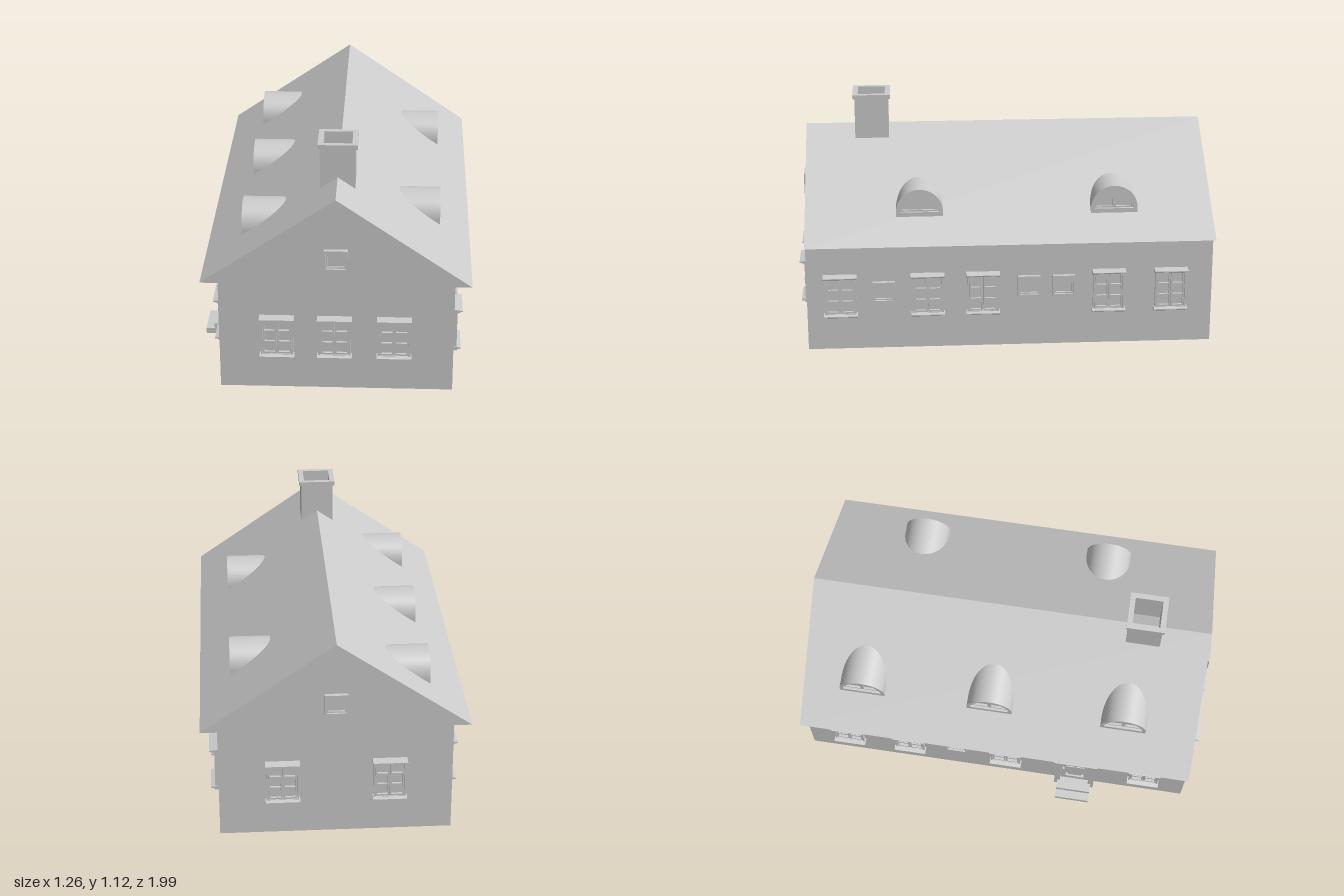
import * as THREE from 'three';

const mat = new THREE.MeshStandardMaterial({ color: 0xcccccc });
const WALL_L = 0.55, WALL_R = -0.515, END = 0.957, RIDGE = 0.015;

function add(parent, name, geo) {
  const m = new THREE.Mesh(geo, mat);
  m.name = name;
  parent.add(m);
  return m;
}

// Box given by its extents on each axis
function box(parent, name, x0, x1, y0, y1, z0, z1) {
  const m = add(parent, name, new THREE.BoxGeometry(x1 - x0, y1 - y0, z1 - z0));
  m.position.set((x0 + x1) / 2, (y0 + y1) / 2, (z0 + z1) / 2);
  return m;
}

const poly = (pts, Kind = THREE.Shape) => new Kind(pts.map(p => new THREE.Vector2(p[0], p[1])));
const rect = (x0, x1, y0, y1, Kind) => poly([[x0, y0], [x1, y0], [x1, y1], [x0, y1]], Kind);
const extrude = (shape, depth) =>
  new THREE.ExtrudeGeometry(shape, { depth, bevelEnabled: false, curveSegments: 24 });

// Rectangular panel pierced by a list of [x0, x1, y0, y1] openings
function pierced(x0, x1, y0, y1, holes, depth) {
  const s = rect(x0, x1, y0, y1);
  holes.forEach(h => s.holes.push(rect(...h, THREE.Path)));
  return extrude(s, depth);
}

// Moulding: a (projection, height) profile run along local x
function moulding(parent, name, profile, width) {
  const m = add(parent, name, extrude(poly(profile.map(([z, y]) => [-z, y])), width));
  m.rotation.y = Math.PI / 2;
  m.position.x = -width / 2;
  return m;
}

// Wall fittings are built facing +z with the wall at z = 0
function largeWindow() {
  const g = new THREE.Group();
  g.name = 'largeWindow';
  add(g, 'windowFrame', pierced(-0.074, 0.074, 0.17, 0.365, [[-0.066, 0.066, 0.182, 0.358]], 0.017));
  for (const s of [-1, 1]) {
    const holes = [0, 1, 2].map(r => [-0.024, 0.024, 0.19 + r * 0.0555, 0.241 + r * 0.0555]);
    const sash = add(g, 'windowSash', pierced(-0.032, 0.032, 0.182, 0.358, holes, 0.012));
    sash.position.x = s * 0.033;
  }
  moulding(g, 'windowLintel',
    [[0, 0.356], [0.02, 0.356], [0.025, 0.362], [0.04, 0.366], [0.04, 0.37], [0, 0.376]], 0.158);
  moulding(g, 'windowSill',
    [[0, 0.163], [0.018, 0.163], [0.022, 0.17], [0.036, 0.172], [0.036, 0.177], [0, 0.184]], 0.158);
  return g;
}

function smallWindow() {
  const g = new THREE.Group();
  g.name = 'smallWindow';
  add(g, 'smallWindowFrame', pierced(-0.053, 0.053, -0.05, 0.05, [[-0.044, 0.044, -0.041, 0.041]], 0.02));
  add(g, 'smallWindowSash', pierced(-0.044, 0.044, -0.041, 0.041, [[-0.038, 0.038, -0.035, 0.035]], 0.01));
  return g;
}

function door() {
  const g = new THREE.Group();
  g.name = 'door';
  // Surround
  for (const s of [-1, 1]) box(g, 'doorJamb', s * 0.086 - 0.014, s * 0.086 + 0.014, 0, 0.405, 0, 0.035);
  box(g, 'doorHead', -0.072, 0.072, 0.375, 0.405, 0, 0.035);
  moulding(g, 'doorCornice', [[0, 0.4], [0.038, 0.4], [0.055, 0.414], [0.055, 0.424], [0, 0.428]], 0.216);
  // Leaf with four small panes over a panel
  const holes = [];
  for (const x of [-0.046, 0.006]) for (const y of [0.255, 0.31]) holes.push([x, x + 0.04, y, y + 0.045]);
  holes.push([-0.046, 0.046, 0.09, 0.215]);
  add(g, 'doorLeaf', pierced(-0.072, 0.072, 0.05, 0.375, holes, 0.015));
  box(g, 'doorPanel', -0.034, 0.034, 0.102, 0.203, 0, 0.01);
  box(g, 'doorHandle', -0.064, -0.054, 0.218, 0.24, 0.015, 0.026);
  // Steps
  box(g, 'upperStep', -0.085, 0.085, 0, 0.055, 0, 0.077);
  box(g, 'lowerStep', -0.085, 0.085, 0, 0.028, 0.077, 0.117);
  return g;
}

// Arch outline: short straight base under a half circle
function arch(Kind, r, y0, spring) {
  const p = new Kind();
  p.moveTo(-r, y0);
  p.lineTo(r, y0);
  p.lineTo(r, spring);
  p.absarc(0, spring, r, 0, Math.PI, false);
  p.lineTo(-r, y0);
  return p;
}

// Barrel dormer: face at z = 0, running back into the roof
function dormer() {
  const g = new THREE.Group();
  g.name = 'dormer';
  const shell = arch(THREE.Shape, 0.11, 0, 0.025);
  shell.holes.push(arch(THREE.Path, 0.092, 0.024, 0.027));
  add(g, 'dormerFace', extrude(shell, 0.025)).position.z = -0.025;
  add(g, 'dormerBarrel', extrude(arch(THREE.Shape, 0.11, 0, 0.025), 0.215)).position.z = -0.24;
  const sash = arch(THREE.Shape, 0.092, 0.024, 0.027);
  for (const s of [-1, 1]) {
    const pane = new THREE.Path();
    pane.moveTo(s * 0.008, 0.031);
    pane.lineTo(s * 0.082, 0.031);
    pane.absarc(0, 0.031, 0.082, s > 0 ? 0 : Math.PI, Math.PI / 2 - s * 0.1, s < 0);
    pane.lineTo(s * 0.008, 0.031);
    sash.holes.push(pane);
  }
  add(g, 'dormerSash', extrude(sash, 0.01)).position.z = -0.022;
  return g;
}

export function createModel() {
  const house = new THREE.Group();
  house.name = 'house';

  // Walls and roof as one gabled section with overhanging eaves
  const section = poly([[WALL_R, 0], [WALL_L, 0], [WALL_L, 0.535], [0.627, 0.535],
    [RIDGE, 0.957], [-0.597, 0.535], [WALL_R, 0.535]]);
  add(house, 'wallsAndRoof', extrude(section, END * 2)).position.z = -END;

  // Open chimney with a projecting cap
  const flue = [[-0.05, 0.08, -0.065, 0.065]];
  const chimney = new THREE.Group();
  chimney.name = 'chimney';
  const stack = add(chimney, 'chimneyStack', pierced(-0.065, 0.095, -0.081, 0.081, flue, 0.25));
  const cap = add(chimney, 'chimneyCap', pierced(-0.075, 0.105, -0.09, 0.09, flue, 0.02));
  for (const [m, y] of [[stack, 0.85], [cap, 1.098]]) {
    m.rotation.x = -Math.PI / 2;
    m.position.set(0, y, 0.64);
  }
  house.add(chimney);

  const place = (part, x, y, z, turn) => {
    part.position.set(x, y, z);
    part.rotation.y = turn;
    house.add(part);
  };
  const LEFT = Math.PI / 2, RIGHT = -Math.PI / 2;

  // Gable ends
  for (const x of [-0.252, 0.01, 0.281]) place(largeWindow(), x, 0, END, 0);
  for (const x of [-0.228, 0.26]) place(largeWindow(), x, 0, -END, Math.PI);
  place(smallWindow(), 0.016, 0.665, END, 0);
  place(smallWindow(), 0.016, 0.665, -END, Math.PI);

  // Left long wall
  for (const z of [0.8, 0.39, 0.13, -0.465, -0.76]) place(largeWindow(), WALL_L, 0, z, LEFT);
  for (const [z, y] of [[0.595, 0.288], [-0.087, 0.302], [-0.252, 0.302]])
    place(smallWindow(), WALL_L, y, z, LEFT);

  // Right long wall
  for (const z of [-0.75, -0.44, 0.05, 0.75]) place(largeWindow(), WALL_R, 0, z, RIGHT);
  place(smallWindow(), WALL_R, 0.305, -0.2, RIGHT);
  place(door(), WALL_R, 0, 0.405, RIGHT);

  // Dormers on each roof slope
  for (const z of [0.422, -0.493]) place(dormer(), 0.485, 0.63, z, LEFT);
  for (const z of [-0.668, -0.045, 0.606]) place(dormer(), -0.425, 0.655, z, RIGHT);

  return house;
}
